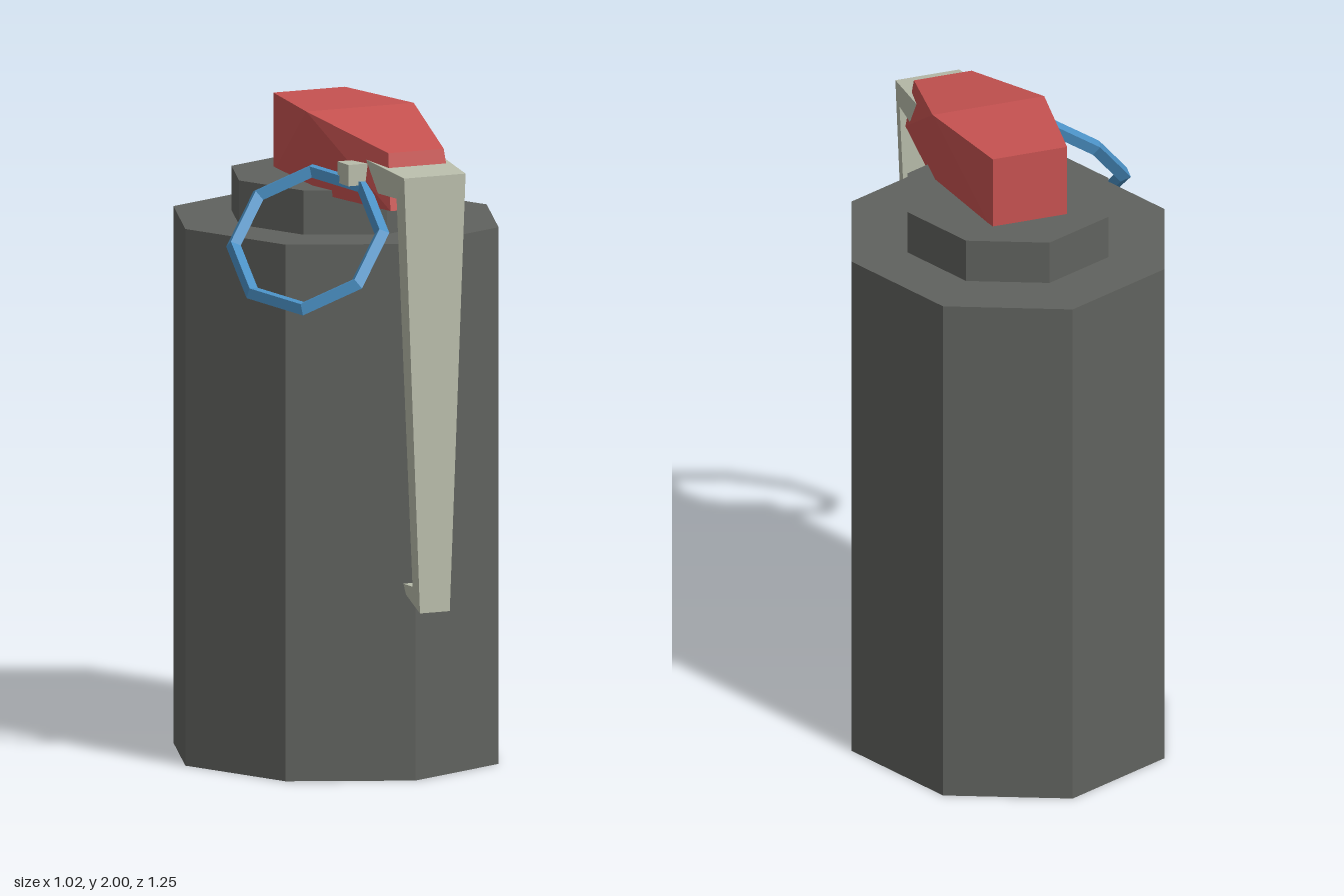
import * as THREE from 'three';
import { ConvexGeometry } from 'three/addons/geometries/ConvexGeometry.js';

const CX = 0.005; // shared centre line of body, cap and lever

const paint = (color) => new THREE.MeshStandardMaterial({ color, flatShading: true });

function addMesh(group, name, geometry, material) {
  const mesh = new THREE.Mesh(geometry, material);
  mesh.name = name;
  group.add(mesh);
  return mesh;
}

// Upright eight-sided prism, slightly longer in z than in x
function octagon(rx, rz, y0, y1) {
  return new THREE.CylinderGeometry(1, 1, y1 - y0, 8)
    .scale(rx, 1, rz)
    .translate(CX, (y0 + y1) / 2, -0.08);
}

// Wedge-shaped cap from three mirrored cross-sections
function capGeometry() {
  const corners = [
    // half width, y, z
    [0.12, 2.0, -0.265], [0.12, 1.755, -0.265],
    [0.18, 2.0, 0.085], [0.165, 1.755, 0.1],
    [0.093, 1.925, 0.47], [0.105, 1.755, 0.51],
  ];
  const points = [];
  for (const [w, y, z] of corners) {
    for (const s of [-1, 1]) points.push(new THREE.Vector3(CX + s * w, y, z));
  }
  return new ConvexGeometry(points);
}

// Side profile (z, y) extruded across x, then tapered
function leverGeometry() {
  const profile = [
    [0.6, 1.868], [0.36, 1.895], [0.358, 1.865], [0.375, 1.82], [0.4, 1.8],
    [0.555, 1.8], [0.555, 0.61], [0.492, 0.61], [0.508, 0.578], [0.6, 0.535],
  ];
  const shape = new THREE.Shape(profile.map(([z, y]) => new THREE.Vector2(z, y)));
  const geometry = new THREE.ExtrudeGeometry(shape, { depth: 1, bevelEnabled: false });
  const pos = geometry.attributes.position;
  for (let i = 0; i < pos.count; i++) {
    const z = pos.getX(i), y = pos.getY(i), side = 1 - 2 * pos.getZ(i);
    const half = y < 1.79 ? 0.103 - (1.8 - y) * 0.042 : 0.103 + (0.6 - z) * 0.08;
    pos.setXYZ(i, CX + side * half, y, z);
  }
  geometry.computeVertexNormals();
  return geometry;
}

// Eight-sided ring lying in a tilted plane
function ringGeometry() {
  const u = new THREE.Vector3(0.2, 0.165, 0.01);
  const v = new THREE.Vector3(0.06, -0.115, 0.25);
  const n = new THREE.Vector3().crossVectors(u, v).setLength(0.27);
  const frame = new THREE.Matrix4().makeBasis(u, v, n).setPosition(-0.31, 1.662, 0.372);
  return new THREE.TorusGeometry(0.91, 0.09, 4, 8).applyMatrix4(frame);
}

export function createModel() {
  const group = new THREE.Group();
  group.name = 'canister';
  const dark = paint(0x60625e);
  const pale = paint(0xb8bcaa);

  // Canister body and collar
  addMesh(group, 'body', octagon(0.505, 0.545, 0, 1.64), dark);
  addMesh(group, 'collar', octagon(0.325, 0.35, 1.63, 1.775), dark);

  // Cap with its lever
  addMesh(group, 'cap', capGeometry(), paint(0xc65250));
  addMesh(group, 'lever', leverGeometry(), pale);

  // Pin and pull ring on the right side
  const pin = new THREE.BoxGeometry(0.1, 0.065, 0.075);
  addMesh(group, 'pin', pin.translate(-0.13, 1.85, 0.347), pale);
  addMesh(group, 'pullRing', ringGeometry(), paint(0x4a90c4));

  return group;
}
